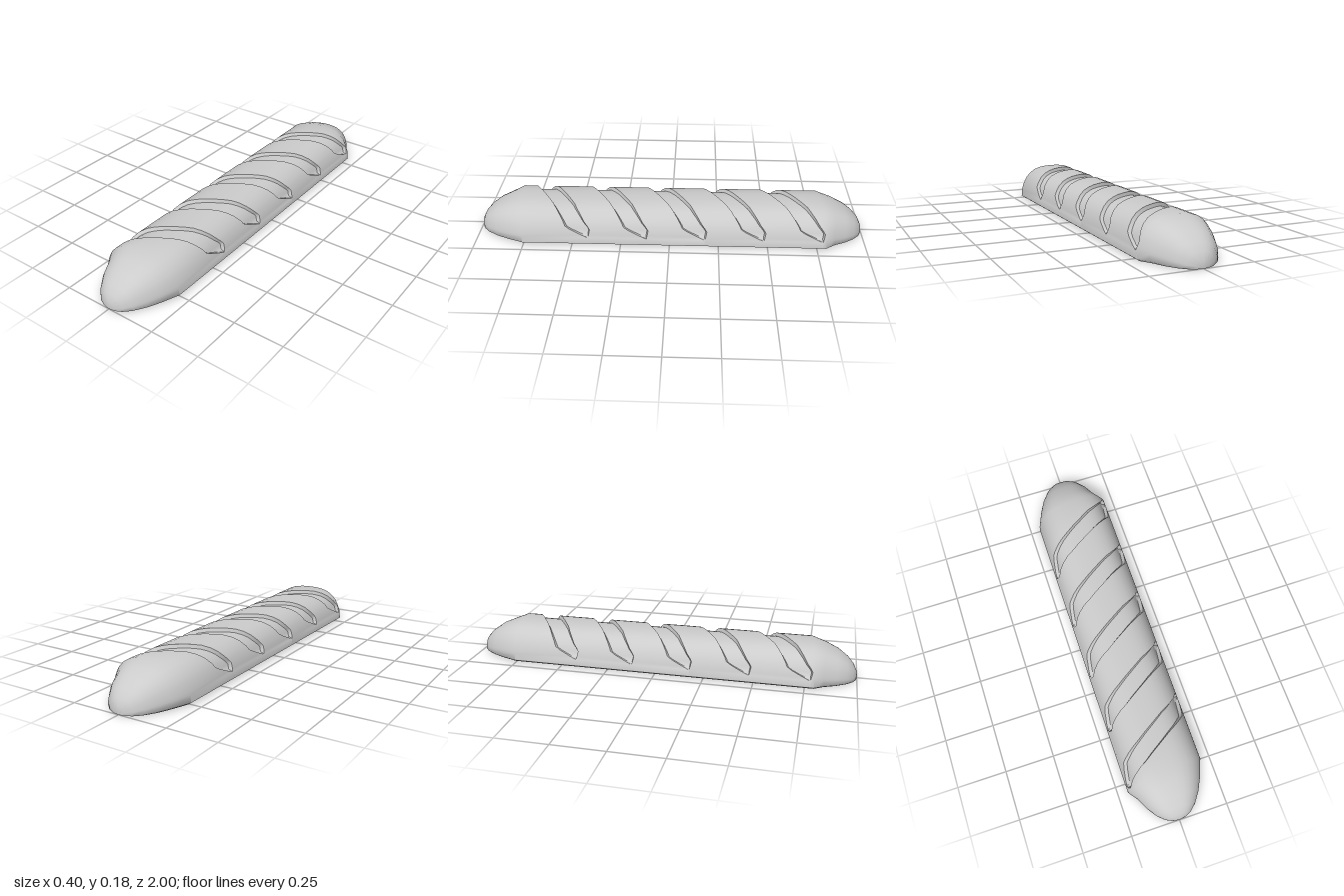
import * as THREE from 'three';
import { toCreasedNormals } from 'three/addons/utils/BufferGeometryUtils.js';

// Half of the cross-section, from the flat base up to the crown. Each entry:
// x, y, front edge of a slash at +x, rear edge of a slash at +x, cut amount.
const HALF = [
  [0.185, 0, -0.18, -0.18, 0],
  [0.2, 0.01, -0.18, -0.18, 0],
  [0.197, 0.045, -0.178, -0.182, 0],
  [0.194, 0.06, -0.145, -0.185, 1],
  [0.185, 0.085, -0.09, -0.19, 1],
  [0.178, 0.1, -0.065, -0.18, 1],
  [0.167, 0.12, -0.055, -0.163, 1],
  [0.142, 0.147, -0.035, -0.142, 1],
  [0.112, 0.166, -0.015, -0.122, 1],
  [0.077, 0.177, 0.006, -0.104, 1],
  [0.04, 0.182, 0.03, -0.08, 1],
  [0, 0.183, 0.055, -0.055, 1],
];
// Rounded ends: z, width scale, height scale
const END = [
  [0.84, 0.83, 0.88], [0.9, 0.68, 0.74], [0.95, 0.5, 0.55],
  [0.98, 0.33, 0.37], [0.995, 0.17, 0.2], [1, 0, 0.07],
];
const DEPTH = 0.018;
const WALL = 0.006;

// Full section, running from -x over the crown to +x; slashes have half-turn symmetry
const section = [
  ...HALF.slice(0, -1).map(([x, y, f, r, cut]) => ({ x: -x, y, front: -r, rear: -f, cut })),
  ...HALF.slice().reverse().map(([x, y, f, r, cut]) => ({ x, y, front: f, rear: r, cut })),
];
const count = section.length;

// Section point pushed inward along its normal
function cutPoint(j) {
  const p = section[j];
  const a = section[(j + count - 1) % count];
  const b = section[(j + 1) % count];
  const tangent = new THREE.Vector2(b.x - a.x, b.y - a.y).normalize();
  const d = DEPTH * p.cut;
  return [p.x + tangent.y * d, p.y - tangent.x * d];
}

function loafGeometry() {
  const rows = [];
  const endRow = ([z, w, h], side) => section.map((p) => [p.x * w, p.y * h, z * side]);
  const bodyEnd = (side) => section.map((p) => [p.x, p.y, 0.775 * side - 0.1 * p.x]);

  // Back end
  for (const e of END.slice().reverse()) rows.push(endRow(e, -1));
  rows.push(bodyEnd(-1));

  // Five diagonal slashes: surface edge, floor edge, floor edge, surface edge
  for (let i = -2; i <= 2; i++) {
    const zc = i * 0.298;
    const inset = (p) => Math.min(WALL, (p.front - p.rear) / 4);
    rows.push(section.map((p) => [p.x, p.y, zc + p.rear]));
    rows.push(section.map((p, j) => [...cutPoint(j), zc + p.rear + inset(p)]));
    rows.push(section.map((p, j) => [...cutPoint(j), zc + p.front - inset(p)]));
    rows.push(section.map((p) => [p.x, p.y, zc + p.front]));
  }

  // Front end
  rows.push(bodyEnd(1));
  for (const e of END) rows.push(endRow(e, 1));

  // Join the rows
  const index = [];
  for (let r = 0; r < rows.length - 1; r++) {
    for (let j = 0; j < count; j++) {
      const k = (j + 1) % count;
      const a = r * count + j, b = r * count + k;
      const d = a + count, c = b + count;
      index.push(a, d, c, a, c, b);
    }
  }
  const geometry = new THREE.BufferGeometry();
  geometry.setAttribute('position', new THREE.Float32BufferAttribute(rows.flat(2), 3));
  geometry.setIndex(index);
  return toCreasedNormals(geometry, 1.05);
}

export function createModel() {
  const group = new THREE.Group();
  group.name = 'breadLoaf';
  const loaf = new THREE.Mesh(loafGeometry(), new THREE.MeshStandardMaterial({ color: 0xcccccc }));
  loaf.name = 'slashedLoaf';
  group.add(loaf);
  return group;
}
